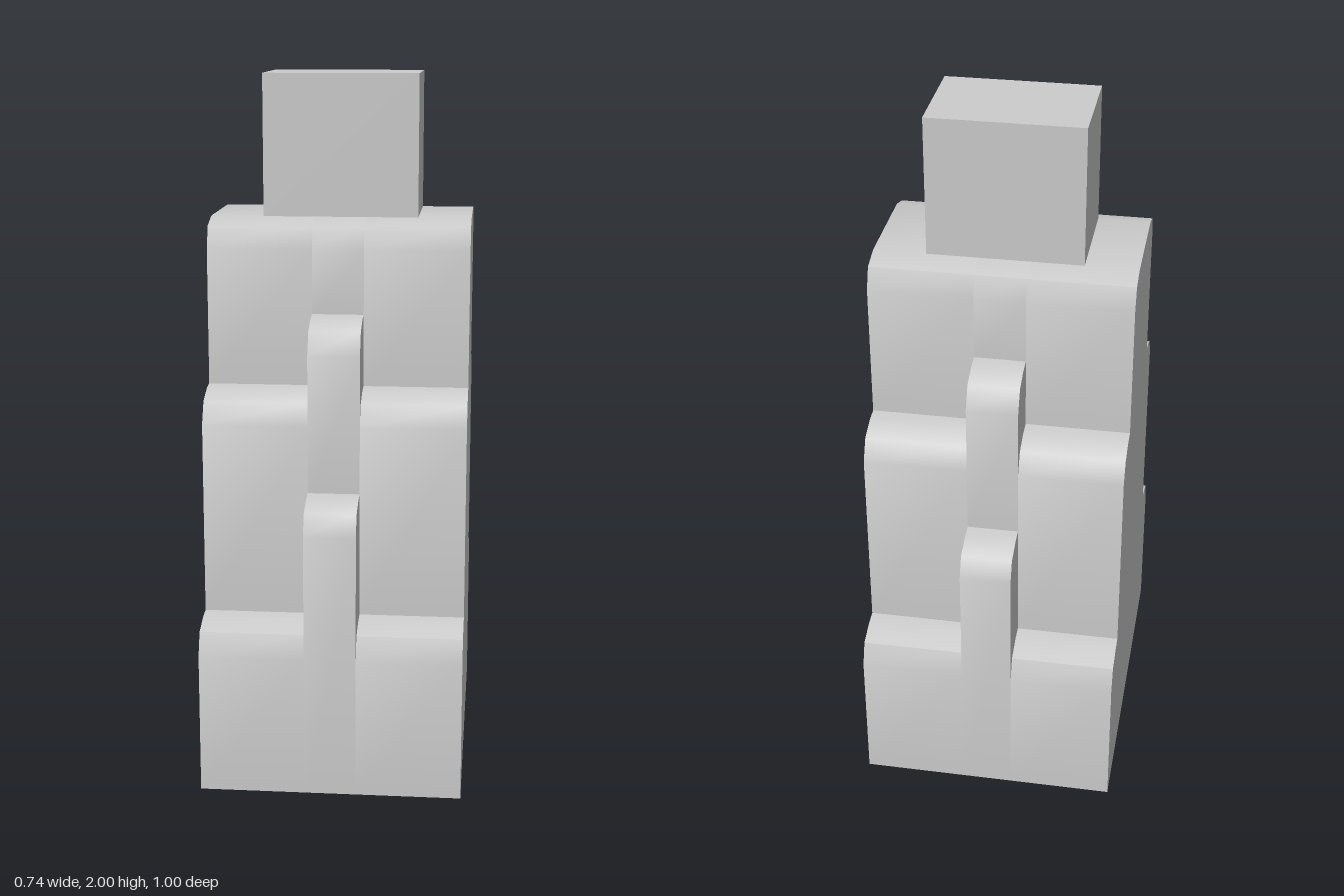
import * as THREE from 'three';
import { toCreasedNormals } from 'three/addons/utils/BufferGeometryUtils.js';

const HALF = 0.37, RIB = 0.073;

// Half profiles as [z, y], from the ground to the roof
const lowerShoulder = [[0.5, 0.4], [0.475, 0.465], [0.41, 0.488], [0.37, 0.493]];
const upperShoulder = [[0.37, 1.04], [0.34, 1.1], [0.28, 1.125], [0.238, 1.13]];
const roof = [[0.238, 1.52], [0.215, 1.58], [0.15, 1.6]];
const lowerRib = [[0.5, 0.76], [0.475, 0.82], [0.41, 0.843], [0.37, 0.848]];
const upperRib = [[0.37, 1.24], [0.34, 1.305], [0.28, 1.33], [0.238, 1.335]];

const mirrored = (half) => [...half, ...half.map(([z, y]) => [-z, y]).reverse()];
const bodyProfile = mirrored([[0.5, 0], ...lowerShoulder, ...upperShoulder, ...roof]);
const ribProfile = mirrored([[0.5, 0], ...lowerRib, ...upperRib, ...roof]);

// Open skin following a profile between two x positions
function skin(profile, x0, x1) {
  const pos = [];
  for (let i = 0; i < profile.length - 1; i++) {
    const [az, ay] = profile[i], [bz, by] = profile[i + 1];
    pos.push(x0, ay, az, x1, ay, az, x1, by, bz);
    pos.push(x0, ay, az, x1, by, bz, x0, by, bz);
  }
  const g = new THREE.BufferGeometry();
  g.setAttribute('position', new THREE.Float32BufferAttribute(pos, 3));
  return toCreasedNormals(g, 0.85);
}

// Flat plate in the side plane, facing +x or -x
function sidePlate(points, x, facing) {
  const shape = new THREE.Shape(points.map(([z, y]) => new THREE.Vector2(-facing * z, y)));
  return new THREE.ShapeGeometry(shape).rotateY(facing * Math.PI / 2).translate(x, 0, 0);
}

export function createModel() {
  const model = new THREE.Group();
  model.name = 'steppedTower';
  const stone = new THREE.MeshStandardMaterial({ color: 0xcccccc, side: THREE.DoubleSide });
  stone.name = 'light grey';
  const add = (name, geometry) => {
    const mesh = new THREE.Mesh(geometry, stone);
    mesh.name = name;
    model.add(mesh);
  };

  // Stepped walls and roof, hollow and open underneath
  add('rightWallSkin', skin(bodyProfile, -HALF, -RIB));
  add('ribSkin', skin(ribProfile, -RIB, RIB));
  add('leftWallSkin', skin(bodyProfile, RIB, HALF));

  for (const s of [-1, 1]) {
    const side = s > 0 ? 'left' : 'right';
    add(side + 'SideWall', sidePlate(bodyProfile, s * HALF, s));
    // Cheeks of the ribs standing on each shoulder, front and back
    for (const [level, shoulder, rib] of [['Lower', lowerShoulder, lowerRib], ['Upper', upperShoulder, upperRib]]) {
      const outline = [...shoulder, ...[...rib].reverse()];
      for (const d of [1, -1]) {
        const points = outline.map(([z, y]) => [d * z, y]);
        add(side + level + (d > 0 ? 'Front' : 'Back') + 'RibCheek', sidePlate(points, s * RIB, s));
      }
    }
  }

  // Block on the roof
  add('topBlock', new THREE.BoxGeometry(0.44, 0.4, 0.3).translate(0, 1.8, 0));
  return model;
}
